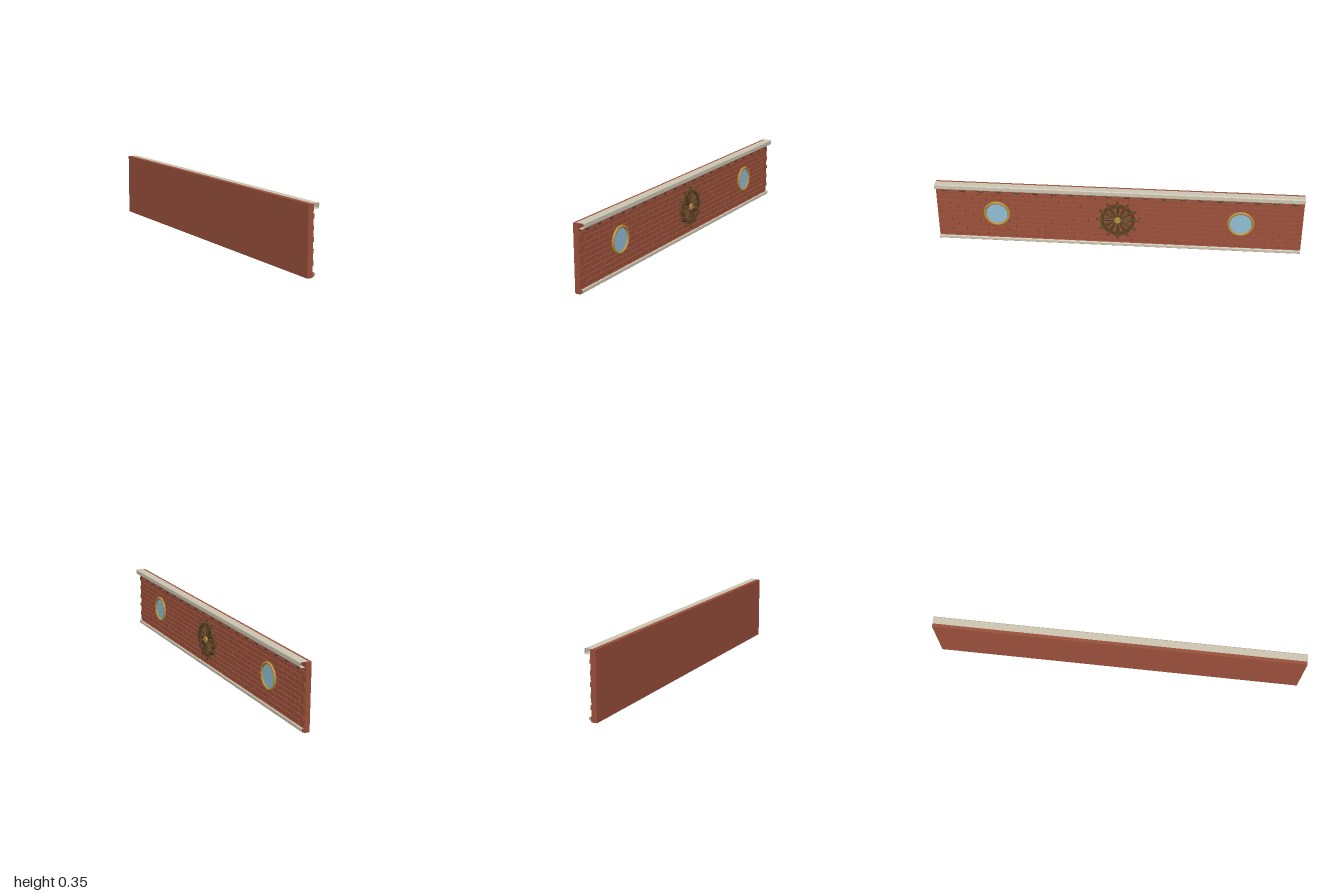
import * as THREE from 'three';
import { mergeGeometries } from 'three/addons/utils/BufferGeometryUtils.js';

const mat = (name, color, side = THREE.FrontSide) => {
  const m = new THREE.MeshStandardMaterial({ color, side });
  m.name = name;
  return m;
};

export function createModel() {
  const brick = mat('brick', 0x9b503b);
  const stone = mat('stone trim', 0xcfc7b3, THREE.DoubleSide);
  const brass = mat('brass', 0xb98f3c);
  const glass = mat('glass', 0x92bfd6);
  const wood = mat('wood', 0x6e4c28);
  const darkWood = mat('dark wood', 0x5a3e22);

  const model = new THREE.Group();
  const add = (parent, name, geo, material, x = 0, y = 0, z = 0) => {
    const m = new THREE.Mesh(geo, material);
    m.name = name;
    m.position.set(x, y, z);
    parent.add(m);
    return m;
  };

  // Wall slab
  add(model, 'wall', new THREE.BoxGeometry(0.029, 0.35, 2), brick, -0.0175, 0.175, 0);

  // Running-bond brick courses, alternate rows shifted half a brick
  const bricks = [], pitch = 0.08, rise = 0.0277;
  for (let row = 0; row < 12; row++) {
    const shift = row % 2 ? pitch / 2 : 0;
    const count = row % 2 ? 24 : 25;
    for (let i = 0; i < count; i++) {
      const g = new THREE.BoxGeometry(0.006, 0.022, pitch - 0.006);
      g.translate(0, 0.015 + row * rise, -1 + shift + (i + 0.5) * pitch);
      bricks.push(g);
    }
  }
  add(model, 'bricks', mergeGeometries(bricks), brick);

  // Hollow mouldings: an open profile carried along the wall
  const moulding = (name, profile) => {
    const plane = new THREE.PlaneGeometry(1, 1, profile.length - 1, 1);
    const p = plane.attributes.position;
    for (let i = 0; i < p.count; i++) {
      const [x, y] = profile[i % profile.length];
      p.setXYZ(i, x, y, i < profile.length ? 1 : -1);
    }
    const g = plane.toNonIndexed();
    g.computeVertexNormals();
    add(model, name, g, stone);
  };
  moulding('cornice', [[-0.015, 0.353], [0.023, 0.353], [0.026, 0.351], [0.027, 0.348],
    [0.027, 0.33], [0.026, 0.327], [0.023, 0.325], [0, 0.325]]);
  moulding('baseMoulding', [[0, 0.025], [0.007, 0.025], [0.009, 0.0235], [0.01, 0.021],
    [0.01, 0.009], [0.009, 0.007], [0.005, 0.006]]);

  // Row of oval beads beneath the cornice
  for (let i = 0; i < 20; i++) {
    const bead = add(model, 'bead', new THREE.SphereGeometry(1, 12, 8), darkWood, 0.012, 0.315, -0.95 + i * 0.1);
    bead.scale.set(0.006, 0.006, 0.017);
  }

  // A group whose local +z faces out of the wall
  const mount = (name, z) => {
    const g = new THREE.Group();
    g.name = name;
    g.position.set(0, 0.178, z);
    g.rotation.y = Math.PI / 2;
    model.add(g);
    return g;
  };

  // Portholes
  for (const z of [-0.667, 0.667]) {
    const port = mount('porthole', z);
    const ring = add(port, 'portholeRing', new THREE.TorusGeometry(0.067, 0.0075, 10, 32), brass, 0, 0, 0.007);
    ring.scale.z = 0.95;
    const pane = add(port, 'portholeGlass', new THREE.CylinderGeometry(0.063, 0.063, 0.005, 32), glass, 0, 0, 0.004);
    pane.rotation.x = Math.PI / 2;
    for (let i = 0; i < 12; i++) {
      const a = i * Math.PI / 6;
      add(port, 'portholeBolt', new THREE.SphereGeometry(0.003, 8, 6), brass,
        Math.cos(a) * 0.067, Math.sin(a) * 0.067, 0.0135);
    }
  }

  // Ship's wheel: rim, tapered spokes, handles and hub
  const wheel = mount('wheel', 0);
  const rimShape = new THREE.Shape().absarc(0, 0, 0.093, 0, Math.PI * 2);
  rimShape.holes.push(new THREE.Path().absarc(0, 0, 0.078, 0, Math.PI * 2, true));
  add(wheel, 'wheelRim', new THREE.ExtrudeGeometry(rimShape, { depth: 0.014, bevelEnabled: false, curveSegments: 24 }),
    darkWood, 0, 0, 0.012);
  const blade = new THREE.Shape([[-0.004, 0.014], [0.004, 0.014], [0.014, 0.08], [-0.014, 0.08]]
    .map(([x, y]) => new THREE.Vector2(x, y)));
  const bladeGeo = new THREE.ExtrudeGeometry(blade, { depth: 0.008, bevelEnabled: false });
  for (let i = 0; i < 12; i++) {
    const arm = new THREE.Group();
    arm.name = 'wheelArm';
    arm.rotation.z = i * Math.PI / 6;
    wheel.add(arm);
    add(arm, 'spokeBlade', bladeGeo, wood, 0, 0, 0.013);
    add(arm, 'spoke', new THREE.CylinderGeometry(0.0045, 0.0035, 0.092, 8), darkWood, 0, 0.058, 0.021);
    add(arm, 'rimBlock', new THREE.BoxGeometry(0.02, 0.014, 0.016), wood, 0, 0.092, 0.02);
    add(arm, 'handle', new THREE.CylinderGeometry(0.0035, 0.004, 0.014, 8), wood, 0, 0.104, 0.02);
    add(arm, 'handleKnob', new THREE.SphereGeometry(0.006, 10, 8), darkWood, 0, 0.111, 0.02);
  }
  const hub = add(wheel, 'hub', new THREE.CylinderGeometry(0.017, 0.02, 0.018, 20), brass, 0, 0, 0.022);
  hub.rotation.x = Math.PI / 2;

  return model;
}
